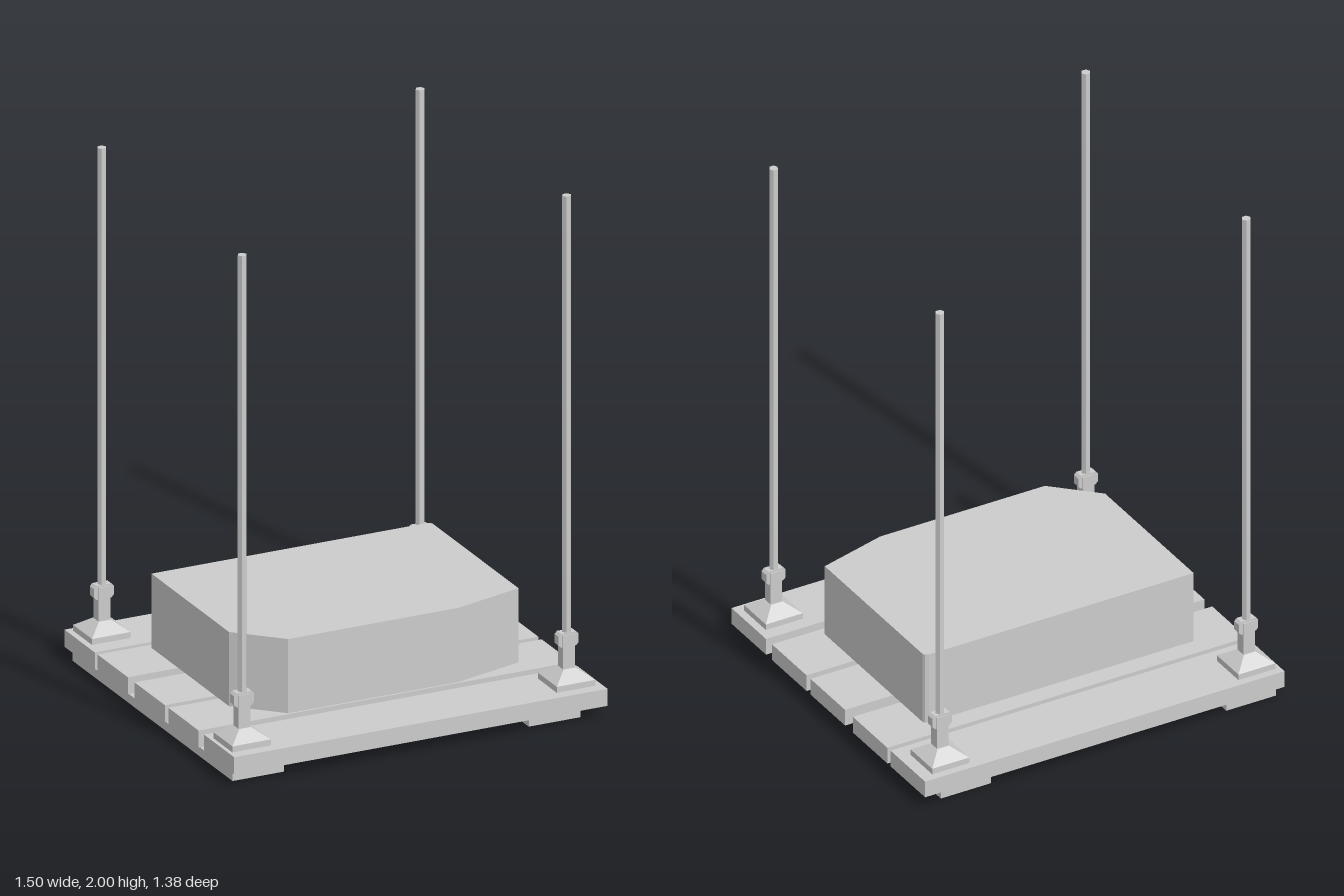
import * as THREE from 'three';

const material = new THREE.MeshStandardMaterial({ color: 0xcccccc, flatShading: true });

function addMesh(parent, name, geometry, x = 0, y = 0, z = 0) {
  const mesh = new THREE.Mesh(geometry, material);
  mesh.name = name;
  mesh.position.set(x, y, z);
  parent.add(mesh);
  return mesh;
}

// Box given by its extents along each axis
function addBox(parent, name, [x0, x1], [y0, y1], [z0, z1]) {
  return addMesh(parent, name, new THREE.BoxGeometry(x1 - x0, y1 - y0, z1 - z0),
    (x0 + x1) / 2, (y0 + y1) / 2, (z0 + z1) / 2);
}

function shapeFrom(points) {
  return new THREE.Shape(points.map(([x, y]) => new THREE.Vector2(x, y)));
}

// Pole with its foot, stem and clamp
function createPost(x, z) {
  const post = new THREE.Group();
  post.name = 'cornerPost';
  post.position.set(x, 0, z);

  addBox(post, 'footPlate', [-0.077, 0.077], [0.115, 0.138], [-0.077, 0.077]);

  // Four-sided sloping foot
  const foot = new THREE.CylinderGeometry(0.024 * Math.SQRT2, 0.077 * Math.SQRT2, 0.038, 4);
  foot.rotateY(Math.PI / 4);
  addMesh(post, 'slopedFoot', foot, 0, 0.157, 0);

  addBox(post, 'stem', [-0.024, 0.024], [0.17, 0.305], [-0.021, 0.021]);

  // Clamp with chamfered corners
  const w = 0.04, h = 0.027, c = 0.01;
  const clamp = new THREE.ExtrudeGeometry(shapeFrom([
    [-w + c, -h], [w - c, -h], [w, -h + c], [w, h - c],
    [w - c, h], [-w + c, h], [-w, h - c], [-w, -h + c],
  ]), { depth: 0.034, bevelEnabled: false });
  addMesh(post, 'clamp', clamp, 0, 0.286, -0.017);

  // Hexagonal pole, corners pointing sideways
  const pole = new THREE.CylinderGeometry(0.0175, 0.0175, 1.7, 6);
  pole.rotateY(Math.PI / 2);
  addMesh(post, 'pole', pole, 0, 1.15, 0);
  return post;
}

export function createModel() {
  const model = new THREE.Group();
  model.name = 'platformWithPosts';

  // Two runners on the ground
  addBox(model, 'runner', [-0.73, -0.523], [0, 0.035], [-0.66, 0.637]);
  addBox(model, 'runner', [0.457, 0.665], [0, 0.035], [-0.66, 0.637]);

  // Five planks across
  for (const z of [-0.567, -0.299, 0.002, 0.276, 0.564]) {
    addBox(model, 'plank', [-0.748, 0.748], [0.047, 0.113], [z - 0.123, z + 0.123]);
  }

  // Block with cut corners; the outline is drawn as (x, -z)
  const outline = shapeFrom([
    [-0.56, 0.365], [-0.56, -0.265], [-0.40, -0.42], [0.285, -0.42],
    [0.56, -0.345], [0.56, 0.35], [0.555, 0.36], [0.542, 0.365],
  ]);
  const block = new THREE.ExtrudeGeometry(outline, { depth: 0.287, bevelEnabled: false });
  block.rotateX(-Math.PI / 2);
  addMesh(model, 'block', block, 0, 0.126, 0);

  // Posts at the four corners
  for (const [x, z] of [[-0.658, 0.569], [0.642, 0.569], [-0.65, -0.585], [0.625, -0.585]]) {
    model.add(createPost(x, z));
  }
  return model;
}
